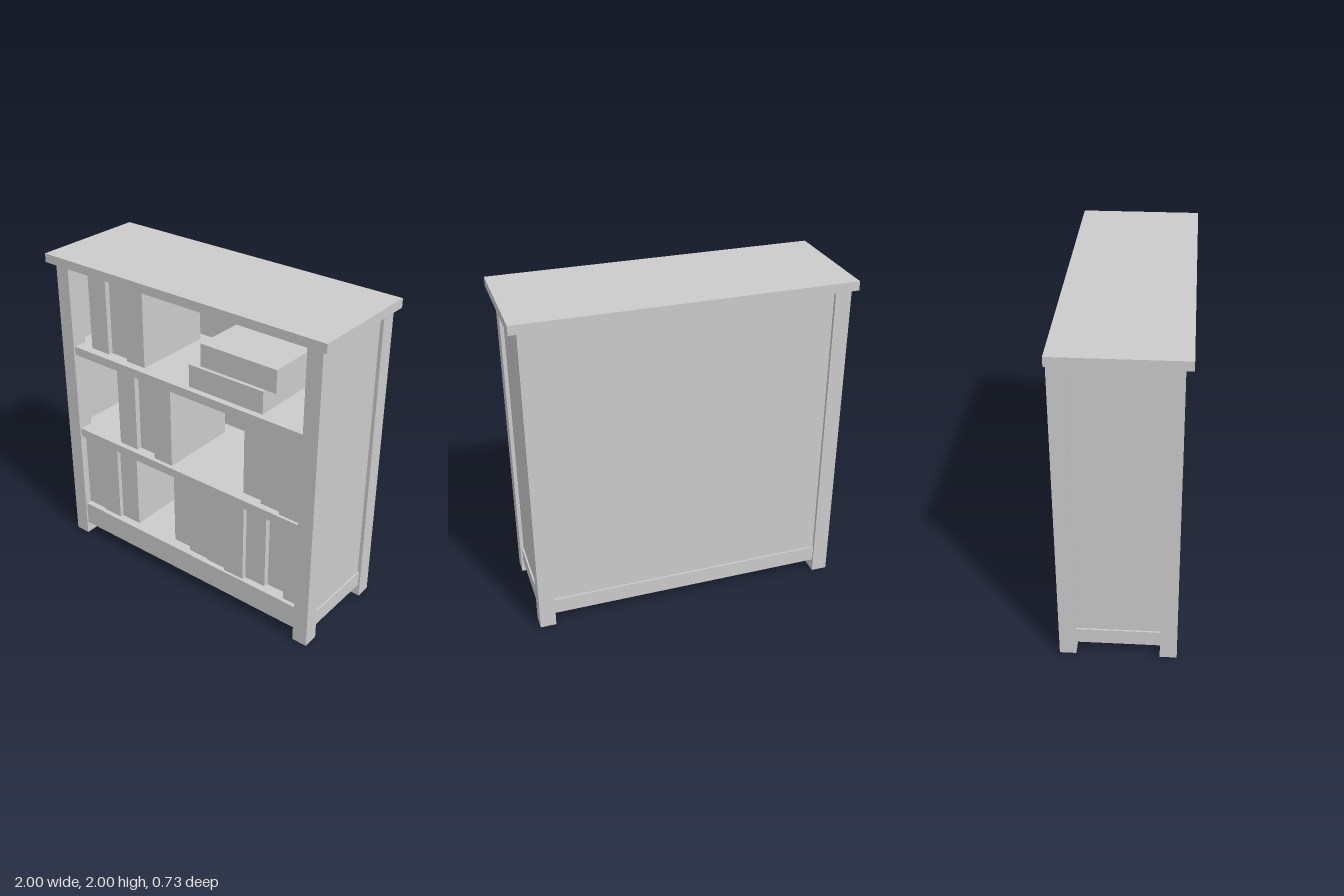
import * as THREE from 'three';

export function createModel() {
  const model = new THREE.Group();
  const material = new THREE.MeshStandardMaterial({ color: 0xcccccc, flatShading: true });

  // Box given by its minimum and maximum along each axis
  function block(name, [x0, x1], [y0, y1], [z0, z1], parent = model) {
    const mesh = new THREE.Mesh(new THREE.BoxGeometry(x1 - x0, y1 - y0, z1 - z0), material);
    mesh.position.set((x0 + x1) / 2, (y0 + y1) / 2, (z0 + z1) / 2);
    mesh.name = name;
    parent.add(mesh);
  }

  const topUnder = 1.945;
  const apron = [0.08, 0.18];
  const frontLeg = [0.226, 0.326];
  const backLeg = [-0.363, -0.265];

  block('topBoard', [-1, 1], [topUnder, 2], [-0.367, 0.367]);

  // Legs, side panels and side aprons, mirrored left and right
  for (const [side, s] of [['left', 1], ['right', -1]]) {
    const span = (a, b) => (s > 0 ? [a, b] : [-b, -a]);
    block(side + 'FrontLeg', span(0.858, 0.955), [0, topUnder], frontLeg);
    block(side + 'BackLeg', span(0.858, 0.955), [0, topUnder], backLeg);
    block(side + 'Panel', span(0.912, 0.933), [0.18, topUnder], [backLeg[0] + 0.04, frontLeg[1] - 0.04]);
    block(side + 'Apron', span(0.893, 0.943), apron, [backLeg[1], frontLeg[0]]);
  }

  // Back panel, front and back aprons
  block('backPanel', [-0.9, 0.9], [0.18, topUnder], [-0.343, -0.322]);
  block('backApron', [-0.858, 0.858], apron, [-0.353, -0.303]);
  block('frontApron', [-0.858, 0.858], apron, [0.266, 0.316]);

  // Shelves: wide behind the front legs, with a front edge fitting between them
  const shelves = [['bottomShelf', 0.18, 0.235], ['middleShelf', 0.768, 0.823], ['upperShelf', 1.355, 1.41]];
  for (const [name, y0, y1] of shelves) {
    const shelf = new THREE.Group();
    shelf.name = name;
    model.add(shelf);
    block(name + 'Board', [-0.912, 0.912], [y0, y1], [-0.322, 0.226], shelf);
    block(name + 'Edge', [-0.858, 0.858], [y0, y1], [0.226, 0.316], shelf);
  }

  // Rows of upright books: start x, bottom, top, front z of each book
  const books = new THREE.Group();
  books.name = 'books';
  model.add(books);
  const width = 0.142, pitch = 0.1465, depth = 0.52;
  const rows = [
    [-0.858, 0.237, 0.766, [0.28, 0.288, 0.265]],
    [-0.123, 0.237, 0.766, [0.25, 0.277, 0.285, 0.3, 0.275, 0.245, 0.293]],
    [-0.53, 0.83, 1.354, [0.288, 0.257, 0.297]],
    [0.417, 0.825, 1.354, [0.25, 0.277, 0.3]],
    [-0.749, 1.417, 1.943, [0.272, 0.245, 0.273]],
  ];
  for (const [x, y0, y1, fronts] of rows) {
    fronts.forEach((z, i) => {
      const x0 = x + i * pitch;
      block('uprightBook', [x0, x0 + width], [y0, y1], [z - depth, z], books);
    });
  }

  // Two books lying flat in a stack
  block('flatBook', [0.043, 0.567], [1.417, 1.559], [-0.235, 0.287], books);
  block('flatBook', [0.118, 0.642], [1.564, 1.706], [-0.248, 0.272], books);

  return model;
}
